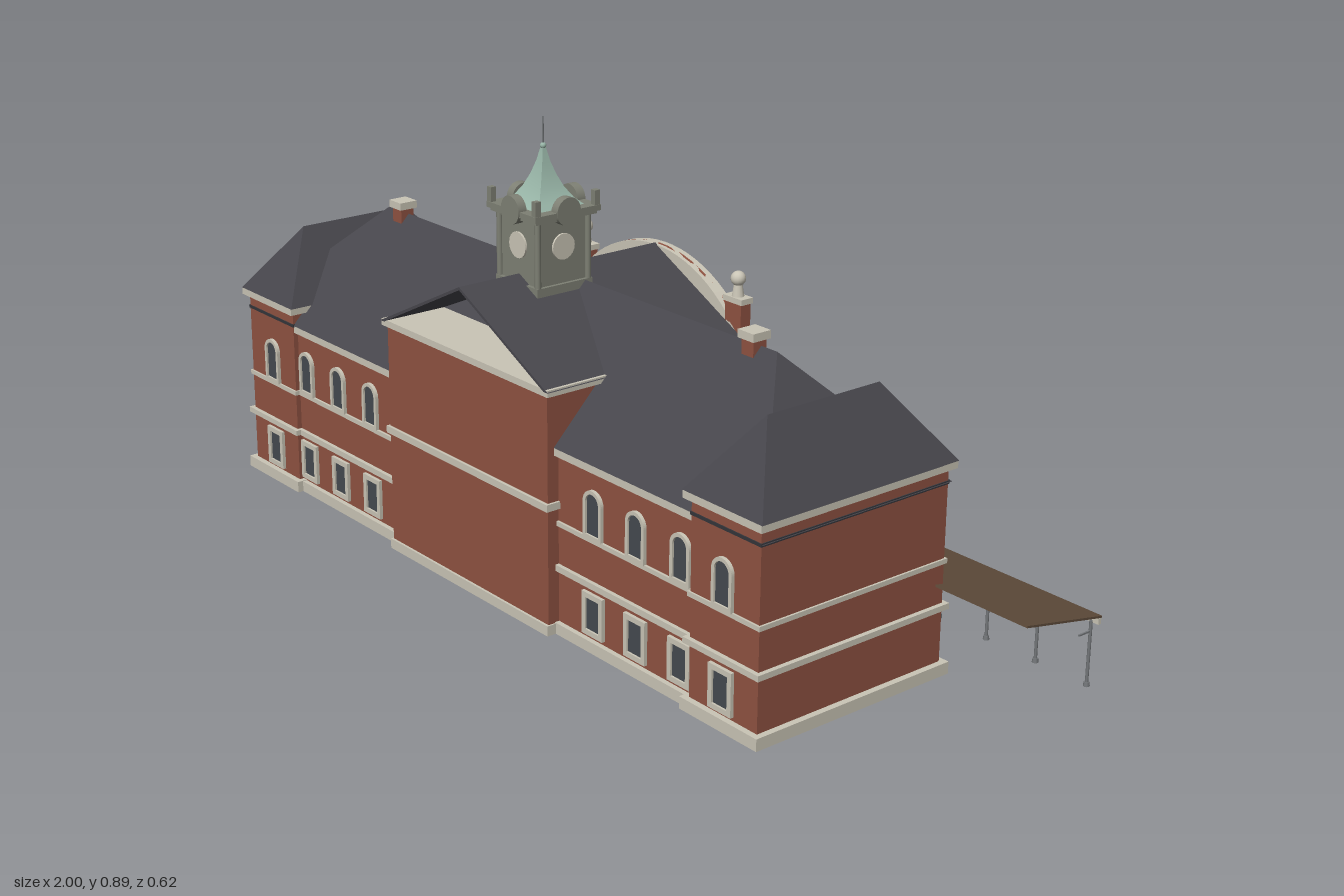
import * as THREE from 'three';
import { toCreasedNormals } from 'three/addons/utils/BufferGeometryUtils.js';
import { ConvexGeometry } from 'three/addons/geometries/ConvexGeometry.js';

const mat = (name, color) => Object.assign(new THREE.MeshStandardMaterial({ color }), { name });
const M = {
  brick: mat('brick', 0x8f5241),
  stone: mat('pale stone', 0xcac5b6),
  slate: mat('slate', 0x47464c),
  glass: mat('window glass', 0x454a50),
  tower: mat('tower stone', 0x7e8074),
  copper: mat('green copper', 0x98b5a7),
  canopy: mat('canopy brown', 0x5f4c3b),
  iron: mat('iron grey', 0x74777a),
  trim: mat('dark trim', 0x34353a),
};

function add(parent, name, geo, material, x = 0, y = 0, z = 0) {
  const m = new THREE.Mesh(geo, material);
  m.name = name;
  m.position.set(x, y, z);
  parent.add(m);
  return m;
}

// box given by its limits on each axis
function block(parent, name, material, x0, x1, y0, y1, z0, z1) {
  return add(parent, name, new THREE.BoxGeometry(x1 - x0, y1 - y0, z1 - z0), material,
    (x0 + x1) / 2, (y0 + y1) / 2, (z0 + z1) / 2);
}

const extrude = (shape, depth) =>
  new THREE.ExtrudeGeometry(shape, { depth, bevelEnabled: false, curveSegments: 12 });

// rectangle, with a round head if arched; base at y = 0
function opening(w, h, arched, y = 0, Type = THREE.Shape) {
  const s = new Type(), r = w / 2;
  s.moveTo(-r, y);
  s.lineTo(r, y);
  if (arched) {
    s.lineTo(r, y + h - r);
    s.absarc(0, y + h - r, r, 0, Math.PI, false);
  } else {
    s.lineTo(r, y + h);
    s.lineTo(-r, y + h);
  }
  s.closePath();
  return s;
}

// framed window facing +z
function windowUnit(parent, name, x, y, z, w, h, arched, t = 0.009, bars = 0) {
  const g = new THREE.Group();
  g.name = name;
  g.position.set(x, y, z);
  const frame = opening(w, h, arched);
  frame.holes.push(opening(w - 2 * t, h - 2 * t, arched, t, THREE.Path));
  add(g, 'windowFrame', extrude(frame, 0.007), M.stone);
  add(g, 'windowGlass', extrude(opening(w - 2 * t, h - 2 * t, arched, t), 0.003), M.glass);
  if (bars) {
    block(g, 'mullion', M.stone, -0.002, 0.002, t, h - t, 0, 0.005);
    for (let i = 1; i <= bars; i++) {
      const by = h * i / (bars + 1);
      block(g, 'glazingBar', M.stone, -w / 2 + t, w / 2 - t, by - 0.0015, by + 0.0015, 0, 0.005);
    }
  }
  parent.add(g);
}

// hipped roof over a rectangle, ridge limits given on x and z
function hipRoof(parent, name, [x0, x1], [z0, z1], y0, y1, [rx0, rx1], [rz0, rz1]) {
  const p = (x, y, z) => new THREE.Vector3(x, y, z);
  const pts = [p(x0, y0, z0), p(x1, y0, z0), p(x0, y0, z1), p(x1, y0, z1), p(rx0, y1, rz0), p(rx1, y1, rz1)];
  add(parent, name, new ConvexGeometry(pts), M.slate);
}

function buildWings(root) {
  block(root, 'wingWalls', M.brick, -0.63, 0.63, 0, 0.36, -0.13, 0.28);
  block(root, 'wingPlinth', M.stone, -0.63, 0.63, 0, 0.022, -0.14, 0.29);
  for (const [y0, y1, o] of [[0.123, 0.135, 0.008], [0.21, 0.219, 0.005], [0.345, 0.36, 0.009]])
    block(root, 'wingBand', M.stone, -0.63, 0.63, y0, y1, -0.13 - o, 0.28 + o);
  hipRoof(root, 'mainRoof', [-0.795, 0.795], [-0.145, 0.29], 0.36, 0.583, [-0.585, 0.585], [0.072, 0.072]);

  for (const s of [-1, 1]) {
    // end pavilion
    const p = new THREE.Group();
    p.name = s > 0 ? 'leftPavilion' : 'rightPavilion';
    p.position.x = s * 0.707;
    root.add(p);
    const ring = (name, m, y0, y1, o) =>
      block(p, name, m, -0.085 - o, 0.085 + o, y0, y1, -0.138 - o, 0.29 + o);
    ring('pavilionWalls', M.brick, 0, 0.39, 0);
    ring('pavilionPlinth', M.stone, 0, 0.023, 0.012);
    ring('pavilionBand', M.stone, 0.124, 0.135, 0.009);
    ring('pavilionSill', M.stone, 0.21, 0.219, 0.004);
    ring('pavilionDarkStrip', M.trim, 0.357, 0.363, 0.002);
    ring('pavilionCornice', M.stone, 0.386, 0.4, 0.011);
    hipRoof(p, 'pavilionRoof', [-0.098, 0.098], [-0.149, 0.301], 0.4, 0.537, [0, 0], [-0.05, 0.205]);

    // chimney
    block(root, 'chimney', M.brick, s * 0.53 - 0.015, s * 0.53 + 0.015, 0.54, 0.597, 0.06, 0.09);
    block(root, 'chimneyCap', M.stone, s * 0.53 - 0.02, s * 0.53 + 0.02, 0.594, 0.609, 0.055, 0.095);
  }

  // windows on the front and back
  for (const back of [false, true]) {
    const f = new THREE.Group();
    f.name = back ? 'backWindows' : 'frontWindows';
    f.rotation.y = back ? Math.PI : 0;
    for (const s of [-1, 1]) for (const x of [0.353, 0.47, 0.588, 0.705]) {
      const z = x > 0.65 ? (back ? 0.138 : 0.29) : (back ? 0.13 : 0.28);
      windowUnit(f, 'upperWindow', s * x, 0.218, z, 0.05, 0.092, true, 0.007);
      windowUnit(f, 'lowerWindow', s * x, 0.03, z, 0.058, 0.082, false, 0.01);
    }
    root.add(f);
  }
}

function buildCentre(root) {
  const c = new THREE.Group();
  c.name = 'centreBlock';
  root.add(c);
  block(c, 'centreWalls', M.brick, -0.25, 0.25, 0, 0.465, -0.158, 0.304);
  block(c, 'centrePlinth', M.stone, -0.253, 0.253, 0, 0.02, -0.163, 0.309);
  block(c, 'centreBand', M.stone, -0.255, 0.255, 0.243, 0.257, -0.164, 0.31);
  block(c, 'centreCornice', M.stone, -0.26, 0.26, 0.461, 0.474, -0.166, 0.311);

  // open-ended cross roof
  const roof = new THREE.Shape([[-0.262, 0.47], [0, 0.6], [0.262, 0.47], [0.25, 0.47], [0, 0.594], [-0.25, 0.47]]
    .map(([x, y]) => new THREE.Vector2(x, y)));
  add(c, 'crossRoof', extrude(roof, 0.462), M.slate, 0, 0, -0.15);

  // arched back gable with its coping
  const R = 0.3, cy = 0.597 - R, a = Math.asin(0.24 / R);
  const seg = new THREE.Shape();
  seg.absarc(0, cy, R, Math.PI / 2 - a, Math.PI / 2 + a, false);
  seg.closePath();
  add(c, 'gableBacking', extrude(seg, 0.008), M.stone, 0, 0, -0.156);
  add(c, 'gableBrick', extrude(seg, 0.006), M.brick, 0, 0, -0.162);
  const cope = new THREE.Shape();
  cope.absarc(0, cy, R, Math.PI / 2 - a, Math.PI / 2 + a, false);
  cope.absarc(0, cy, R - 0.016, Math.PI / 2 + a, Math.PI / 2 - a, true);
  add(c, 'gableCoping', extrude(cope, 0.024), M.stone, 0, 0, -0.174);

  // back windows, doors and round window
  const f = new THREE.Group();
  f.name = 'centreBackOpenings';
  f.rotation.y = Math.PI;
  c.add(f);
  for (const x of [-0.085, 0, 0.085]) {
    windowUnit(f, 'tallWindow', x, 0.257, 0.158, 0.076, 0.19, true, 0.009, 4);
    windowUnit(f, 'archedDoor', x, 0.02, 0.158, 0.076, 0.115, true, 0.011);
  }
  add(f, 'roundWindow', new THREE.CircleGeometry(0.02, 20), M.glass, 0, 0.522, 0.1635);
  add(f, 'roundWindowFrame', new THREE.TorusGeometry(0.02, 0.004, 6, 20), M.stone, 0, 0.522, 0.163);

  // corner piers with ball finials
  for (const s of [-1, 1]) {
    const p = new THREE.Group();
    p.name = 'backPier';
    p.position.set(s * 0.228, 0, -0.16);
    c.add(p);
    block(p, 'pierShaft', M.brick, -0.022, 0.022, 0, 0.54, -0.012, 0.012);
    for (const [y0, y1] of [[0, 0.02], [0.242, 0.258], [0.342, 0.35], [0.46, 0.475], [0.536, 0.547]])
      block(p, 'pierBand', M.stone, -0.026, 0.026, y0, y1, -0.0145, 0.0145);
    add(p, 'finialNeck', new THREE.CylinderGeometry(0.008, 0.012, 0.024, 12), M.stone, 0, 0.559, 0);
    add(p, 'finialBall', new THREE.SphereGeometry(0.0145, 16, 12), M.stone, 0, 0.581, 0);
  }
}

function buildTower(root) {
  const t = new THREE.Group();
  t.name = 'clockTower';
  t.position.z = 0.119;
  root.add(t);
  const slab = (name, m, r, y0, y1) => block(t, name, m, -r, r, y0, y1, -r, r);
  slab('towerShaft', M.tower, 0.057, 0.44, 0.715);
  slab('towerBase', M.tower, 0.064, 0.44, 0.585);
  slab('towerCornice', M.tower, 0.07, 0.708, 0.716);
  slab('towerCorniceTop', M.tower, 0.075, 0.714, 0.725);
  for (const x of [-1, 1]) for (const z of [-1, 1]) {
    add(t, 'cornerColumn', new THREE.CylinderGeometry(0.006, 0.006, 0.13, 10), M.tower, x * 0.058, 0.645, z * 0.058);
    block(t, 'pinnacle', M.tower, x * 0.068 - 0.006, x * 0.068 + 0.006, 0.72, 0.753, z * 0.068 - 0.006, z * 0.068 + 0.006);
  }
  // clock face and round pediment on each side
  for (let i = 0; i < 4; i++) {
    const side = new THREE.Group();
    side.name = 'towerSide';
    side.rotation.y = i * Math.PI / 2;
    t.add(side);
    add(side, 'clockFace', new THREE.CylinderGeometry(0.025, 0.025, 0.006, 20).rotateX(Math.PI / 2), M.stone, 0, 0.655, 0.058);
    add(side, 'roundPediment', new THREE.CylinderGeometry(0.027, 0.027, 0.018, 24).rotateX(Math.PI / 2), M.tower, 0, 0.724, 0.068);
  }
  // concave spire, square in plan
  const profile = [[0.056, 0.722], [0.04, 0.737], [0.027, 0.757], [0.017, 0.78], [0.009, 0.805], [0.003, 0.832]]
    .map(([r, y]) => new THREE.Vector2(r * Math.SQRT2, y));
  const spire = new THREE.LatheGeometry(profile, 4).rotateY(Math.PI / 4);
  add(t, 'spire', toCreasedNormals(spire, 0.6), M.copper);
  add(t, 'spireBall', new THREE.SphereGeometry(0.006, 12, 8), M.copper, 0, 0.833, 0);
  add(t, 'spireRod', new THREE.CylinderGeometry(0.0015, 0.002, 0.055, 6), M.iron, 0, 0.86, 0);
}

function buildCanopy(root) {
  const g = new THREE.Group();
  g.name = 'platformCanopy';
  root.add(g);
  // sloping sheet
  const dz = 0.192, dy = 0.038;
  const sheet = add(g, 'canopyRoof', new THREE.BoxGeometry(2, 0.004, Math.hypot(dz, dy)), M.canopy, 0, 0.153, -0.216);
  sheet.rotation.x = -Math.atan2(dy, dz);
  block(g, 'canopyFascia', M.stone, -1, 1, 0.121, 0.133, -0.311, -0.304);
  // posts with feet and brackets
  const n = 18;
  for (let i = 0; i < n; i++) {
    const x = -0.985 + 1.97 * i / (n - 1);
    add(g, 'canopyPost', new THREE.CylinderGeometry(0.003, 0.003, 0.125, 8), M.iron, x, 0.0625, -0.303);
    add(g, 'postFoot', new THREE.CylinderGeometry(0.005, 0.006, 0.008, 8), M.iron, x, 0.004, -0.303);
    block(g, 'postBracket', M.iron, x - 0.0015, x + 0.0015, 0.103, 0.106, -0.303, -0.273);
  }
}

export function createModel() {
  const root = new THREE.Group();
  root.name = 'stationBuilding';
  buildWings(root);
  buildCentre(root);
  buildTower(root);
  buildCanopy(root);
  return root;
}
